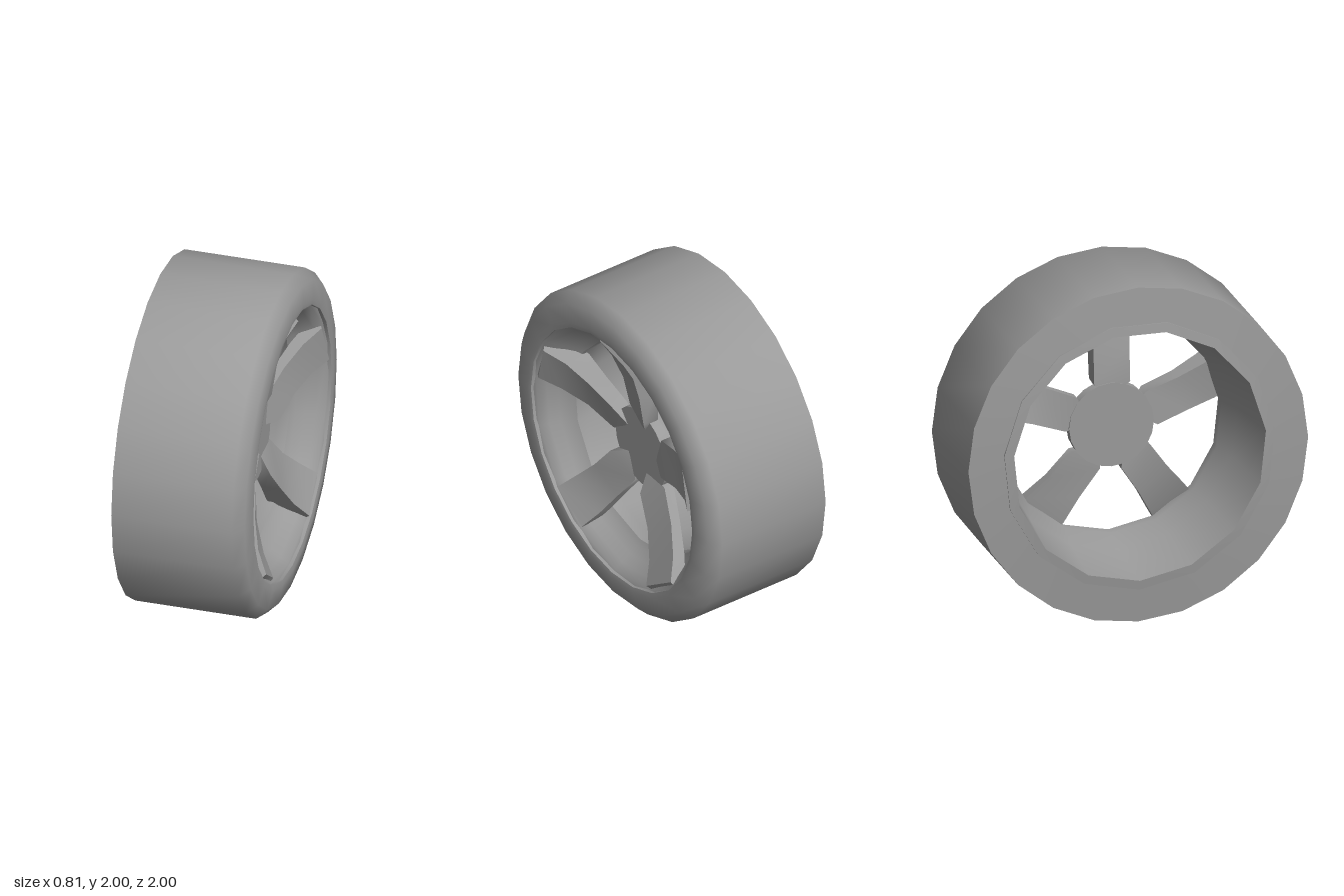
import * as THREE from 'three';
import { toCreasedNormals } from 'three/addons/utils/BufferGeometryUtils.js';

const material = new THREE.MeshStandardMaterial({ color: 0x9a9a9a });

function addMesh(parent, name, geometry) {
  const mesh = new THREE.Mesh(toCreasedNormals(geometry, 0.9), material);
  mesh.name = name;
  parent.add(mesh);
  return mesh;
}

// Turned part: [radius, x] profile spun round the x axis
function turned(profile, sides) {
  const points = profile.map(([r, x]) => new THREE.Vector2(r, x));
  return new THREE.LatheGeometry(points, sides, Math.PI / 2).rotateZ(-Math.PI / 2);
}

// Spoke: four-cornered cross-sections joined from hub to rim
function spokeGeometry() {
  // radius, left z, right z, left face x, right face x, left back x, right back x
  const sections = [
    [0.15, 0.01, -0.04, 0.19, 0.20, 0.15, 0.15],
    [0.25, 0.11, -0.10, 0.20, 0.25, 0.14, 0.15],
    [0.45, 0.117, -0.10, 0.24, 0.28, 0.18, 0.16],
    [0.62, 0.135, -0.113, 0.305, 0.33, 0.23, 0.17],
    [0.75, 0.145, -0.12, 0.38, 0.40, 0.28, 0.21],
    [0.79, 0.14, -0.12, 0.36, 0.365, 0.30, 0.30],
  ];
  const positions = [];
  for (const [r, zl, zr, xl, xr, bl, br] of sections) {
    positions.push(xl, r, zl, xr, r, zr, br, r, zr, bl, r, zl);
  }
  const index = [];
  for (let s = 0; s < sections.length - 1; s++) {
    for (let k = 0; k < 4; k++) {
      const a = s * 4 + k, b = s * 4 + (k + 1) % 4;
      index.push(a, b, b + 4, a, b + 4, a + 4);
    }
  }
  const e = (sections.length - 1) * 4;
  index.push(0, 3, 2, 0, 2, 1, e, e + 1, e + 2, e, e + 2, e + 3);
  const geometry = new THREE.BufferGeometry();
  geometry.setAttribute('position', new THREE.Float32BufferAttribute(positions, 3));
  geometry.setIndex(index);
  return geometry;
}

export function createModel() {
  const wheel = new THREE.Group();
  wheel.name = 'wheel';
  wheel.position.y = 1;

  // Tyre with a bevelled outer shoulder and a flat inner side
  addMesh(wheel, 'tyre', turned([
    [0.76, -0.398], [1, -0.375], [1, 0.33], [0.94, 0.39], [0.83, 0.405], [0.80, 0.40], [0.80, 0.36],
  ], 24));

  // Rim: concave dish, narrow opening, tapered barrel and back edge
  addMesh(wheel, 'rim', turned([
    [0.82, 0.385], [0.79, 0.375], [0.755, 0.33], [0.72, 0.275], [0.685, 0.23], [0.65, 0.205],
    [0.65, 0.14], [0.70, 0.0], [0.745, -0.41], [0.80, -0.402], [0.80, -0.37],
  ], 15));

  // Hub plate
  addMesh(wheel, 'hub', turned([
    [0, 0.14], [0.25, 0.14], [0.25, 0.2], [0, 0.2],
  ], 20));

  // Five spokes
  for (let i = 0; i < 5; i++) {
    addMesh(wheel, 'spoke', spokeGeometry()).rotation.x = i * Math.PI * 2 / 5;
  }

  const model = new THREE.Group();
  model.add(wheel);
  return model;
}
